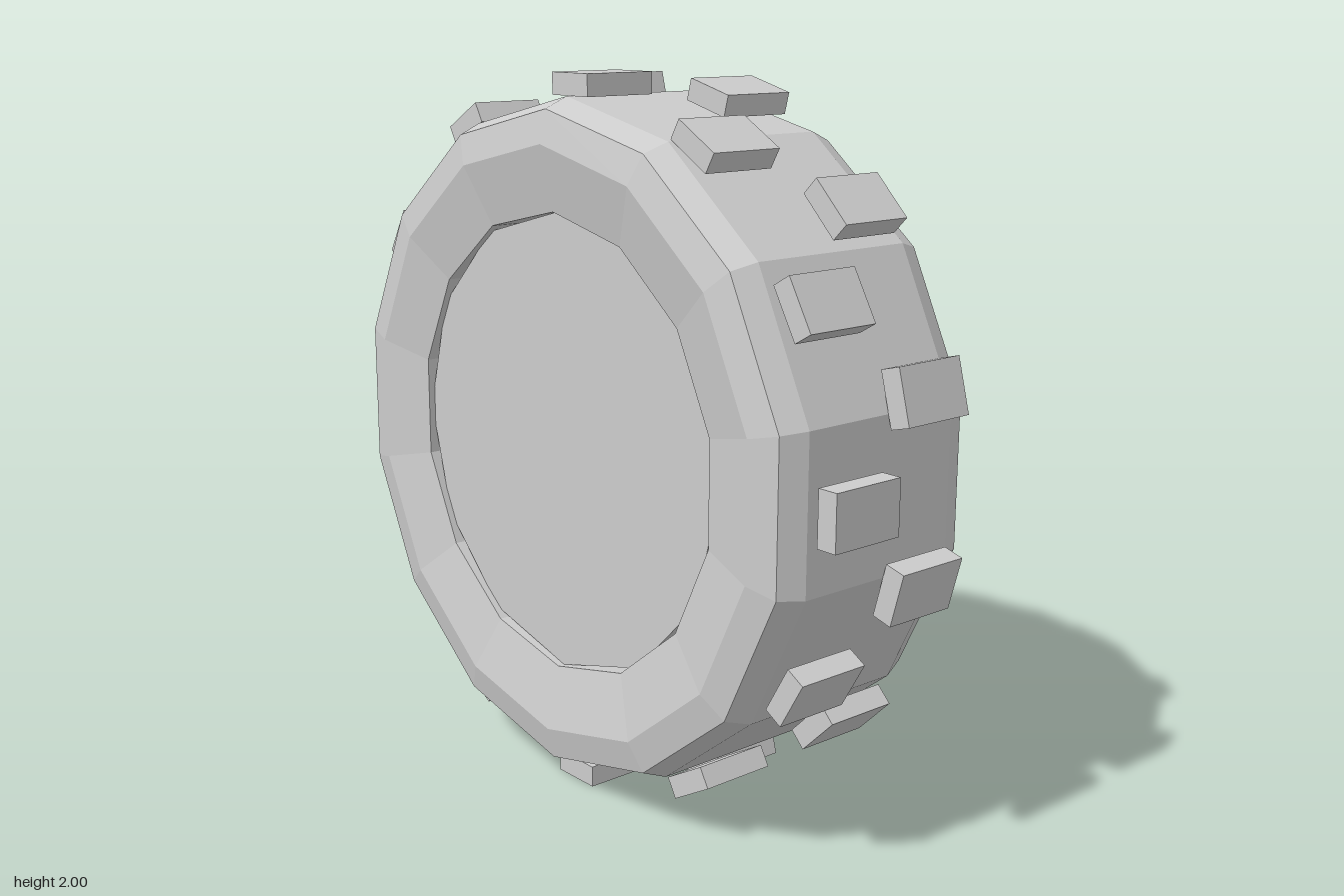
import * as THREE from 'three';

const grey = new THREE.MeshStandardMaterial({ color: 0xcccccc });
grey.name = 'lightGrey';

// Faceted mesh with hard edges
function addPart(parent, name, geometry) {
  const flat = geometry.index ? geometry.toNonIndexed() : geometry;
  flat.computeVertexNormals();
  const mesh = new THREE.Mesh(flat, grey);
  mesh.name = name;
  parent.add(mesh);
  return mesh;
}

// Lathe about the x axle; profile points are [radius, x], first vertex at the top
function axleLathe(profile, sides) {
  const points = profile.map(([r, x]) => new THREE.Vector2(r, x));
  return new THREE.LatheGeometry(points, sides, -Math.PI / 2).rotateZ(-Math.PI / 2);
}

// Prism along the x axle from x0 to x1
function axlePrism(radius, x0, x1, sides, tipRadius = radius) {
  return new THREE.CylinderGeometry(tipRadius, radius, x1 - x0, sides)
    .rotateZ(-Math.PI / 2)
    .translate((x0 + x1) / 2, 0, 0);
}

export function createModel() {
  const model = new THREE.Group();
  model.name = 'wheel';
  const wheel = new THREE.Group();
  wheel.name = 'wheelAssembly';
  wheel.position.y = 1;
  model.add(wheel);

  // Tyre: closed ring with bevelled shoulders
  addPart(wheel, 'tyre', axleLathe([
    [0.64, -0.31], [0.82, -0.35], [0.91, -0.33], [0.94, -0.26],
    [0.94, 0.245], [0.91, 0.315], [0.82, 0.335], [0.64, 0.3], [0.64, -0.31],
  ], 14));

  // Rim: flat back, dished front with a raised centre
  addPart(wheel, 'rim', axleLathe([
    [0, -0.29], [0.64, -0.29], [0.645, 0.3], [0.625, 0.25], [0.5, 0.175],
    [0.4, 0.235], [0.2, 0.25], [0.15, 0.275], [0, 0.275],
  ], 12));

  // Hub cap
  addPart(wheel, 'hubCap', axlePrism(0.145, 0.24, 0.345, 8));

  // Tread blocks in two staggered rows
  const tread = new THREE.Group();
  tread.name = 'tread';
  wheel.add(tread);
  for (let i = 0; i < 24; i++) {
    const a = (i * Math.PI) / 12;
    const block = addPart(tread, 'treadBlock', new THREE.BoxGeometry(0.22, 0.06, 0.15));
    block.position.set(i % 2 ? 0.12 : -0.14, 0.97 * Math.cos(a), 0.97 * Math.sin(a));
    block.rotation.x = a;
  }

  // Wheel bolts and diamond plates around the hub
  for (let i = 0; i < 6; i++) {
    const a = (i * Math.PI) / 3;
    const bolt = addPart(wheel, 'bolt', axlePrism(0.033, 0.23, 0.285, 6));
    bolt.position.set(0, 0.21 * Math.sin(a), 0.21 * Math.cos(a));

    const plate = addPart(wheel, 'diamondPlate', axlePrism(0.043, 0.242, 0.25, 4));
    plate.position.set(0, 0.305 * Math.cos(a), 0.305 * Math.sin(a));
    plate.rotation.x = a;
  }
  return model;
}
